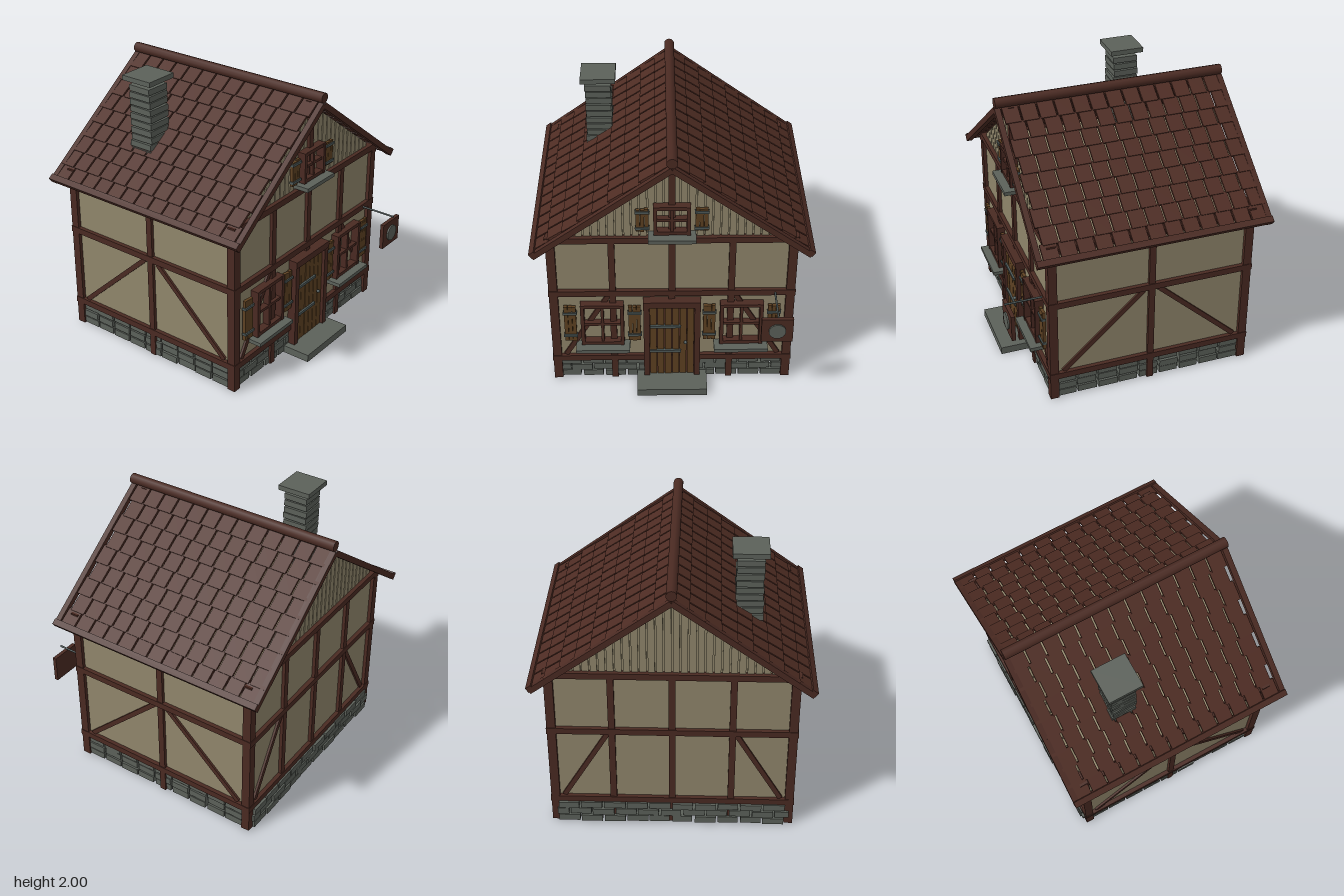
import * as THREE from 'three';

const mat = (name, color, side = THREE.FrontSide) => {
  const m = new THREE.MeshStandardMaterial({ color, side });
  m.name = name;
  return m;
};

export function createModel() {
  const timber = mat('dark timber', 0x4a2a22);
  const tileMat = mat('roof tile', 0x4e2c23);
  const plaster = mat('plaster', 0x90866b);
  const stone = mat('grey stone', 0x5c615a);
  const plank = mat('door wood', 0x5e4122);
  const iron = mat('iron', 0x4f5a59);

  const house = new THREE.Group();
  house.name = 'timberHouse';
  const midZ = -0.085;

  let seed = 7;
  const rand = () => ((seed = (seed * 16807) % 2147483647) / 2147483647) - 0.5;

  const add = (parent, name, geo, m, x = 0, y = 0, z = 0) => {
    const mesh = new THREE.Mesh(geo, m);
    mesh.name = name;
    mesh.position.set(x, y, z);
    parent.add(mesh);
    return mesh;
  };
  // box given by its limits on each axis
  const box = (parent, name, m, x0, x1, y0, y1, z0, z1) =>
    add(parent, name, new THREE.BoxGeometry(x1 - x0, y1 - y0, z1 - z0), m,
      (x0 + x1) / 2, (y0 + y1) / 2, (z0 + z1) / 2);
  // slanted beam in the xy plane
  const beam = (parent, name, m, ax, ay, bx, by, w, z0, z1) => {
    const b = add(parent, name, new THREE.BoxGeometry(Math.hypot(bx - ax, by - ay), w, z1 - z0), m,
      (ax + bx) / 2, (ay + by) / 2, (z0 + z1) / 2);
    b.rotation.z = Math.atan2(by - ay, bx - ax);
    return b;
  };
  const group = (name, parent = house) => {
    const g = new THREE.Group();
    g.name = name;
    parent.add(g);
    return g;
  };

  // plastered body
  box(house, 'walls', plaster, -0.835, 0.835, 0.18, 1.25, -0.805, 0.635);

  // framing and stone footing of one wall; local +z points outwards
  function wallFace(name, x, z, turn, half, posts, brace, topRail, stoneOut, stagger) {
    const g = group(name);
    g.position.set(x, 0, z);
    g.rotation.y = turn;
    for (const px of posts) box(g, 'post', timber, px - 0.023, px + 0.023, 0.005, 1.25, -0.03, 0.024);
    for (const y of [0.198, 0.797, topRail])
      box(g, 'rail', timber, -half - 0.005, half + 0.005, y - 0.023, y + 0.023, -0.03, 0.03);
    for (const s of [-1, 1])
      beam(g, 'brace', timber, s * brace[0], 0.225, s * brace[1], 0.77, 0.035, -0.02, 0.016);
    const count = Math.round((2 * half - 0.1) / 0.162), pitch = (2 * half - 0.1) / count;
    for (let row = 0; row < 3; row++) {
      const shift = stagger && row === 1 ? pitch / 2 : 0;
      for (let i = 0; i < count; i++) {
        const x0 = -half + 0.05 + i * pitch + shift;
        const x1 = Math.min(x0 + pitch - 0.014 + rand() * 0.01, half - 0.03);
        const y0 = 0.01 + row * 0.058;
        box(g, 'footingStone', stone, x0 + rand() * 0.006, x1, y0, y0 + 0.05,
          -0.06, stoneOut + rand() * 0.012);
      }
      if (shift) box(g, 'footingStone', stone, -half + 0.04, -half + 0.04 + pitch / 2, 0.068, 0.118, -0.06, stoneOut);
    }
  }
  const front3 = [-0.415, 0, 0.415];
  wallFace('frontFraming', 0, 0.635, 0, 0.86, front3, [0.765, 0.445], 1.257, 0.008, true);
  wallFace('backFraming', 0, -0.805, Math.PI, 0.86, front3, [0.765, 0.445], 1.257, 0.044, true);
  wallFace('leftFraming', 0.835, midZ, Math.PI / 2, 0.745, [0], [0.645, 0.055], 1.235, 0.012, false);
  wallFace('rightFraming', -0.835, midZ, -Math.PI / 2, 0.745, [0], [0.645, 0.055], 1.235, 0.012, false);
  for (const s of [-1, 1]) for (const z of [0.63, -0.8])
    box(house, 'cornerPost', timber, s * 0.83 - 0.031, s * 0.83 + 0.031, 0.005, 1.25, z - 0.031, z + 0.031);

  // gables: triangular wall covered with vertical boards
  const slope = 0.734;
  const roofY = (x) => 1.9 - slope * Math.abs(x);
  const under = (x) => roofY(x) - 0.035;
  const poly = (pts, depth) => new THREE.ExtrudeGeometry(
    new THREE.Shape(pts.map(([x, y]) => new THREE.Vector2(x, y))), { depth, bevelEnabled: false });
  for (const [name, z, turn] of [['frontGable', 0.6, 0], ['backGable', -0.77, Math.PI]]) {
    const g = group(name);
    g.position.z = z;
    g.rotation.y = turn;
    add(g, 'gableWall', poly([[-0.82, 1.25], [0.82, 1.25], [0, under(0)]], 0.022), plaster);
    const w = 0.055;
    for (const s of [-1, 1]) for (let i = 0; i < 14; i++) {
      const a = i * w + 0.005, b = Math.min((i + 1) * w - 0.005, 0.8);
      const pts = [[s * a, 1.25], [s * b, 1.25], [s * b, under(b)], [s * a, under(a)]];
      add(g, 'gableBoard', poly(pts, 0.014), plaster, 0, 0, 0.022);
    }
  }
  box(house, 'gablePost', timber, -0.023, 0.023, 1.27, 1.89, 0.62, 0.66);

  // roof: staggered tiles on both slopes, verge boards, eaves and ridge
  const roof = group('roof');
  const rows = 9, rowX = 0.935 / rows, tilt = Math.atan(slope);
  const tileGeo = new THREE.BoxGeometry(rowX / Math.cos(tilt) + 0.012, 0.018, 0.112);
  for (const s of [-1, 1]) {
    for (let r = 0; r < rows; r++) for (let i = 0; i < 13; i++) {
      const x = (r + 0.5) * rowX;
      const t = add(roof, 'roofTile', tileGeo, tileMat, s * x, roofY(x) - 0.006,
        0.71 - (i + 0.5) * 0.124 - (r % 2 ? 0.02 : 0));
      t.rotation.z = -s * (tilt - 0.05);
    }
    for (const z of [0.715, -0.925])
      beam(roof, 'vergeBoard', timber, 0, 1.882, s * 0.945, 1.882 - slope * 0.945, 0.042, z, z + 0.04);
    const eave = add(roof, 'eaveBeam', new THREE.BoxGeometry(0.045, 0.04, 1.68), timber, s * 0.937, 1.21, midZ);
    eave.rotation.z = -s * tilt;
  }
  const ridge = add(roof, 'ridgeRoll', new THREE.CylinderGeometry(0.037, 0.037, 1.67, 10), timber, 0, 1.931, midZ + 0.003);
  ridge.rotation.x = Math.PI / 2;

  // chimney of uneven courses with a cap slab
  const chimney = group('chimney');
  chimney.position.set(-0.512, 0, -0.355);
  for (let i = 0; i < 11; i++) {
    const c = add(chimney, 'chimneyCourse', new THREE.BoxGeometry(0.184 + rand() * 0.01, 0.043, 0.184 + rand() * 0.01),
      stone, rand() * 0.006, 1.909 - i * 0.0515, rand() * 0.006);
    c.rotation.y = rand() * 0.06;
  }
  box(chimney, 'chimneyCap', stone, -0.124, 0.124, 1.964, 2, -0.124, 0.124);

  // open casement window with cross bars, sill and plank shutters
  function windowUnit(name, x, y, w, h, sillW, shutterH, band) {
    const g = group(name);
    g.position.set(x, y, 0.635);
    const a = w / 2, b = h / 2, t = 0.026;
    for (const s of [-1, 1]) {
      box(g, 'windowJamb', timber, s * (a - t / 2) - t / 2, s * (a - t / 2) + t / 2, -b, b, 0, 0.062);
      box(g, 'windowRail', timber, -a, a, s * (b - t / 2) - t / 2, s * (b - t / 2) + t / 2, 0, 0.058);
      const cx = s * (a + 0.075);
      for (let i = -1; i <= 1; i++) {
        const dy = rand() * 0.015;
        box(g, 'shutterPlank', plank, cx + i * 0.029 - 0.0135, cx + i * 0.029 + 0.0135,
          -shutterH / 2 + dy, shutterH / 2 + dy, 0.02, 0.043);
      }
      for (const k of [-1, 1])
        box(g, 'shutterBand', iron, cx - 0.049, cx + 0.049, k * band - 0.009, k * band + 0.009, 0.02, 0.052);
    }
    box(g, 'mullion', timber, -0.01, 0.01, -b, b, 0, 0.05);
    box(g, 'transom', timber, -a, a, -0.01, 0.01, 0, 0.048);
    box(g, 'windowSill', stone, -sillW / 2, sillW / 2, -b - 0.034, -b - 0.006, 0, 0.115);
  }
  windowUnit('rightWindow', -0.493, 0.532, 0.306, 0.36, 0.385, 0.31, 0.1);
  windowUnit('leftWindow', 0.493, 0.532, 0.306, 0.36, 0.385, 0.31, 0.1);
  windowUnit('gableWindow', 0, 1.438, 0.25, 0.226, 0.325, 0.175, 0.065);

  // door with frame, strap hinges, knob and step
  const door = group('door');
  for (const s of [-1, 1])
    box(door, 'doorJamb', timber, s * 0.181 - 0.021, s * 0.181 + 0.021, 0.005, 0.72, 0.63, 0.7);
  box(door, 'doorLintel', timber, -0.203, 0.203, 0.695, 0.745, 0.63, 0.706);
  for (let i = 0; i < 6; i++) {
    const x = -0.16 + i * 0.0533;
    box(door, 'doorPlank', plank, x + 0.003, x + 0.0503, 0.05, 0.685 + rand() * 0.012, 0.64, 0.68 + rand() * 0.005);
  }
  box(door, 'doorBack', timber, -0.165, 0.165, 0.04, 0.7, 0.63, 0.664);
  for (const y of [0.28, 0.51])
    box(door, 'doorHinge', iron, -0.157, 0.065, y - 0.01, y + 0.01, 0.66, 0.692);
  add(door, 'doorKnob', new THREE.SphereGeometry(0.013, 10, 8), iron, 0.097, 0.368, 0.695);
  box(door, 'doorStep', stone, -0.252, 0.252, 0, 0.056, 0.64, 0.853);

  // hanging sign on an iron rod
  const sign = group('sign');
  const rod = add(sign, 'signRod', new THREE.CylinderGeometry(0.007, 0.007, 0.28, 8), iron, 0.722, 0.797, 0.79);
  rod.rotation.x = Math.PI / 2;
  box(sign, 'signBoard', timber, 0.612, 0.832, 0.566, 0.762, 0.887, 0.915);
  const disc = add(sign, 'signDisc', new THREE.CylinderGeometry(0.06, 0.06, 0.012, 20), stone, 0.722, 0.662, 0.92);
  disc.rotation.x = Math.PI / 2;

  return house;
}
